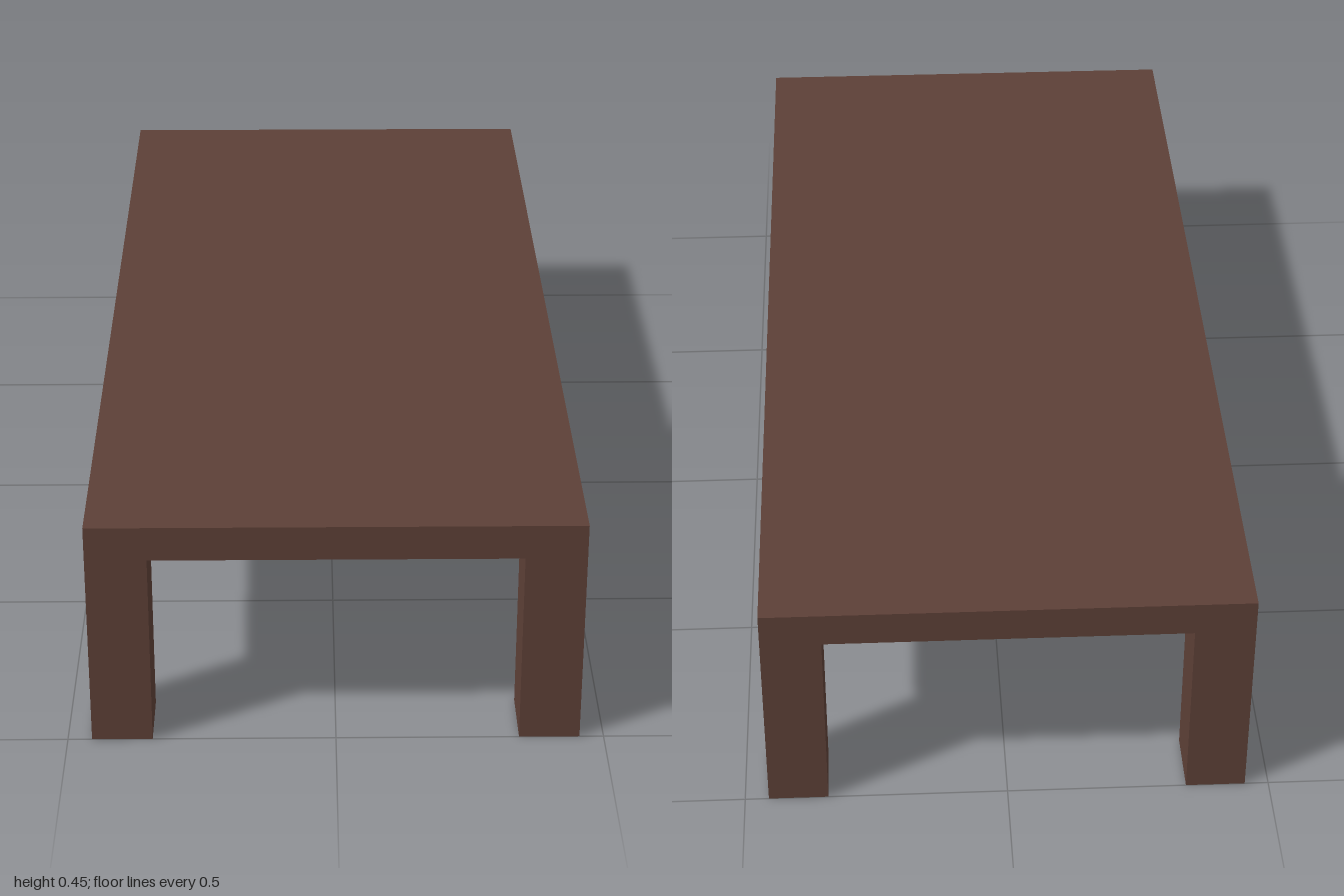
import * as THREE from 'three';

const WIDTH = 0.91, LENGTH = 2, HEIGHT = 0.45, TOP_THICKNESS = 0.067;
const LEG_WIDTH = 0.113, LEG_DEPTH = 0.125;

export function createModel() {
  const table = new THREE.Group();
  table.name = 'lowTable';
  const wood = new THREE.MeshStandardMaterial({ color: 0x5d4037 });

  // Flat slab top
  const top = new THREE.Mesh(new THREE.BoxGeometry(WIDTH, TOP_THICKNESS, LENGTH), wood);
  top.name = 'tableTop';
  top.position.y = HEIGHT - TOP_THICKNESS / 2;
  table.add(top);

  // Four legs flush with the corners
  const legHeight = HEIGHT - TOP_THICKNESS;
  const legGeometry = new THREE.BoxGeometry(LEG_WIDTH, legHeight, LEG_DEPTH);
  for (const [sx, side] of [[1, 'Left'], [-1, 'Right']]) {
    for (const [sz, end] of [[1, 'front'], [-1, 'back']]) {
      const leg = new THREE.Mesh(legGeometry, wood);
      leg.name = `${end}${side}Leg`;
      leg.position.set(sx * (WIDTH - LEG_WIDTH) / 2, legHeight / 2, sz * (LENGTH - LEG_DEPTH) / 2);
      table.add(leg);
    }
  }
  return table;
}
